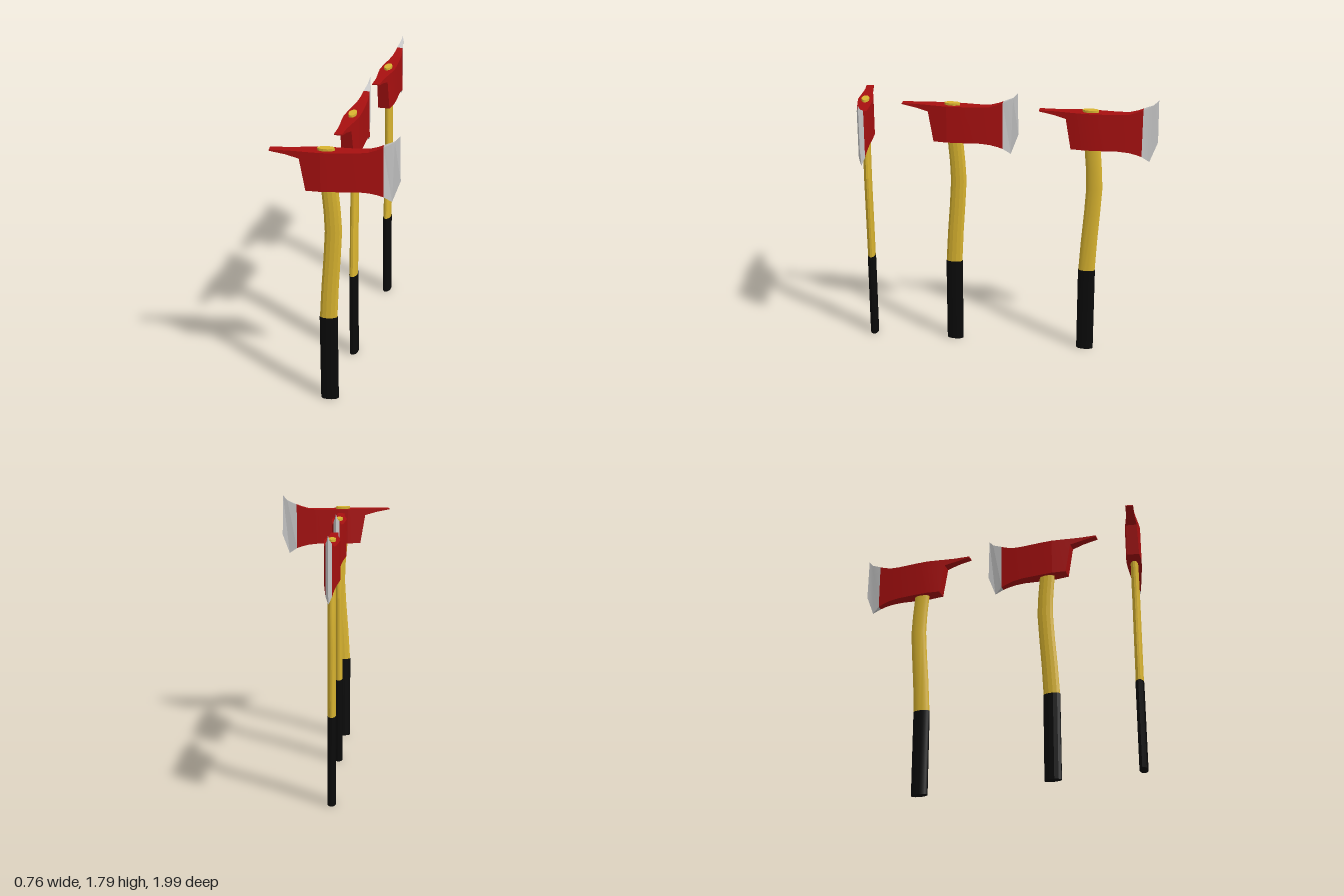
import * as THREE from 'three';
import { toCreasedNormals } from 'three/addons/utils/BufferGeometryUtils.js';

const paint = (color) => new THREE.MeshStandardMaterial({ color });
const RED = paint(0xa81010), YELLOW = paint(0xd9b430), BLACK = paint(0x0a0a0a), STEEL = paint(0xcccccc);

// Skin a list of equal-length rings (counter-clockwise about the travel axis) and cap both ends.
function loft(rings, crease) {
  const pos = [];
  const tri = (...pts) => pts.forEach((p) => pos.push(...p));
  const n = rings[0].length;
  for (let i = 0; i < rings.length - 1; i++) {
    for (let j = 0; j < n; j++) {
      const k = (j + 1) % n;
      const a = rings[i][j], b = rings[i][k], c = rings[i + 1][k], d = rings[i + 1][j];
      tri(a, b, c);
      tri(a, c, d);
    }
  }
  const first = rings[0], last = rings[rings.length - 1];
  for (let j = 1; j < n - 1; j++) {
    tri(first[0], first[j + 1], first[j]);
    tri(last[0], last[j], last[j + 1]);
  }
  const geo = new THREE.BufferGeometry();
  geo.setAttribute('position', new THREE.Float32BufferAttribute(pos, 3));
  return toCreasedNormals(geo, crease);
}

// Head section: top corner, bottom corner, half thickness at top and bottom.
const headRing = ([xt, yt, xb, yb, ht, hb = ht]) =>
  [[xt, yt, -ht], [xt, yt, ht], [xb, yb, hb], [xb, yb, -hb]];

// Handle section: oval of half width a and half thickness b, offset by x at height y.
const ovalRing = (sides) => ([y, x, a, b]) =>
  Array.from({ length: sides }, (_, i) => {
    const t = ((i + 0.5) / sides) * Math.PI * 2;
    return [x + a * Math.sin(t), y, b * Math.cos(t)];
  });

const HEAD = [
  [-0.33, 1.69, -0.33, 1.683, 0.025],
  [-0.235, 1.69, -0.235, 1.665, 0.026],
  [-0.155, 1.69, -0.155, 1.645, 0.035],
  [-0.12, 1.69, -0.12, 1.445, 0.04],
  [-0.03, 1.69, -0.03, 1.445, 0.05],
  [0.06, 1.69, 0.06, 1.445, 0.046],
  [0.185, 1.69, 0.185, 1.445, 0.036],
  [0.25, 1.695, 0.25, 1.438, 0.03],
  [0.3, 1.71, 0.3, 1.425, 0.024],
  [0.335, 1.725, 0.335, 1.412, 0.02],
];
const BLADE = [
  [0.335, 1.725, 0.335, 1.412, 0.02],
  [0.4, 1.755, 0.385, 1.375, 0.008, 0.001],
  [0.43, 1.79, 0.435, 1.51, 0],
];
const SHAFT = [
  [0.585, 0, 0.055, 0.026],
  [0.8, 0.012, 0.054, 0.026],
  [1.0, 0.027, 0.053, 0.026],
  [1.17, 0.037, 0.053, 0.026],
  [1.3, 0.031, 0.052, 0.026],
  [1.45, 0.018, 0.052, 0.025],
  [1.705, 0, 0.052, 0.025],
];
const GRIP = [[0, 0, 0.057, 0.028], [0.585, 0, 0.057, 0.028]];

function makeAxe(name, sides, crease) {
  const axe = new THREE.Group();
  axe.name = name;
  const add = (part, rings, material) => {
    const mesh = new THREE.Mesh(loft(rings, crease), material);
    mesh.name = part;
    axe.add(mesh);
  };
  add('axeHead', HEAD.map(headRing), RED);
  add('cuttingEdge', BLADE.map(headRing), STEEL);
  add('handle', SHAFT.map(ovalRing(sides)), YELLOW);
  add('grip', GRIP.map(ovalRing(sides)), BLACK);
  return axe;
}

export function createModel() {
  const group = new THREE.Group();
  group.name = 'fireAxes';
  // Three axes: name, handle sides, crease angle, z position, turn about y
  const layout = [
    ['frontAxe', 12, 0.1, 0.914, 0.165],
    ['middleAxe', 12, 0.1, 0.335, Math.PI / 2],
    ['backAxe', 24, 0.7, -0.565, Math.PI / 2],
  ];
  for (const [name, sides, crease, z, turn] of layout) {
    const axe = makeAxe(name, sides, crease);
    axe.position.set(-0.05, 0, z);
    axe.rotation.y = turn;
    group.add(axe);
  }
  return group;
}
